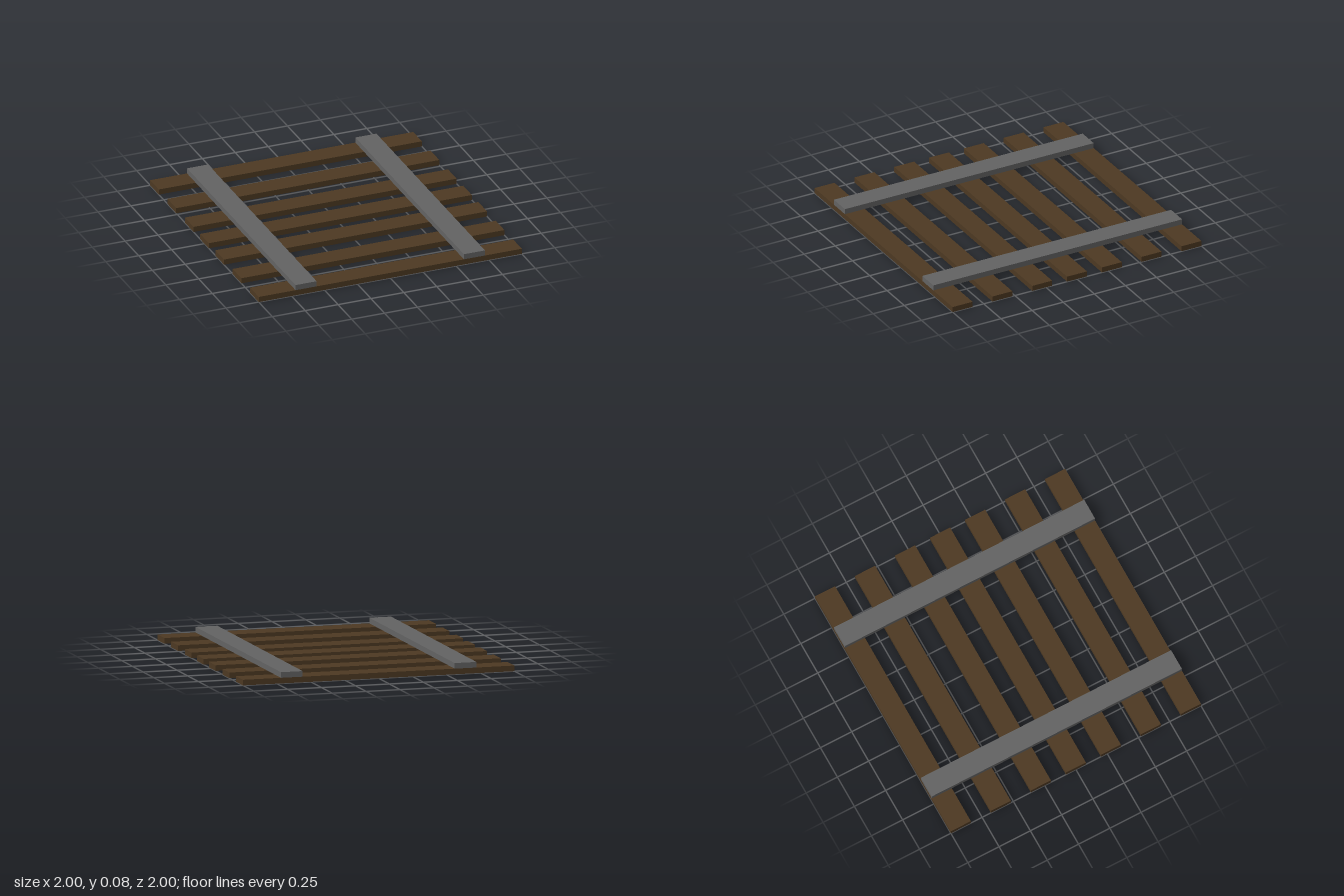
import * as THREE from 'three';

export function createModel() {
  const model = new THREE.Group();
  model.name = 'railTrack';

  const wood = new THREE.MeshStandardMaterial({ color: 0x4d3922 });
  wood.name = 'dark wood';
  const steel = new THREE.MeshStandardMaterial({ color: 0x636363 });
  steel.name = 'grey steel';

  const addBeam = (name, geometry, material, x, y, z) => {
    const mesh = new THREE.Mesh(geometry, material);
    mesh.name = name;
    mesh.position.set(x, y, z);
    model.add(mesh);
  };

  // Seven sleepers lying across the track, slightly closer at the middle
  const sleeper = new THREE.BoxGeometry(2, 0.04, 0.16);
  [-0.92, -0.6, -0.28, 0, 0.28, 0.6, 0.92].forEach((z, i) =>
    addBeam(`sleeper${i + 1}`, sleeper, wood, 0, 0.02, z));

  // Two flat rails resting on the sleepers
  const rail = new THREE.BoxGeometry(0.16, 0.04, 2);
  addBeam('leftRail', rail, steel, 0.64, 0.06, 0);
  addBeam('rightRail', rail, steel, -0.64, 0.06, 0);

  return model;
}
